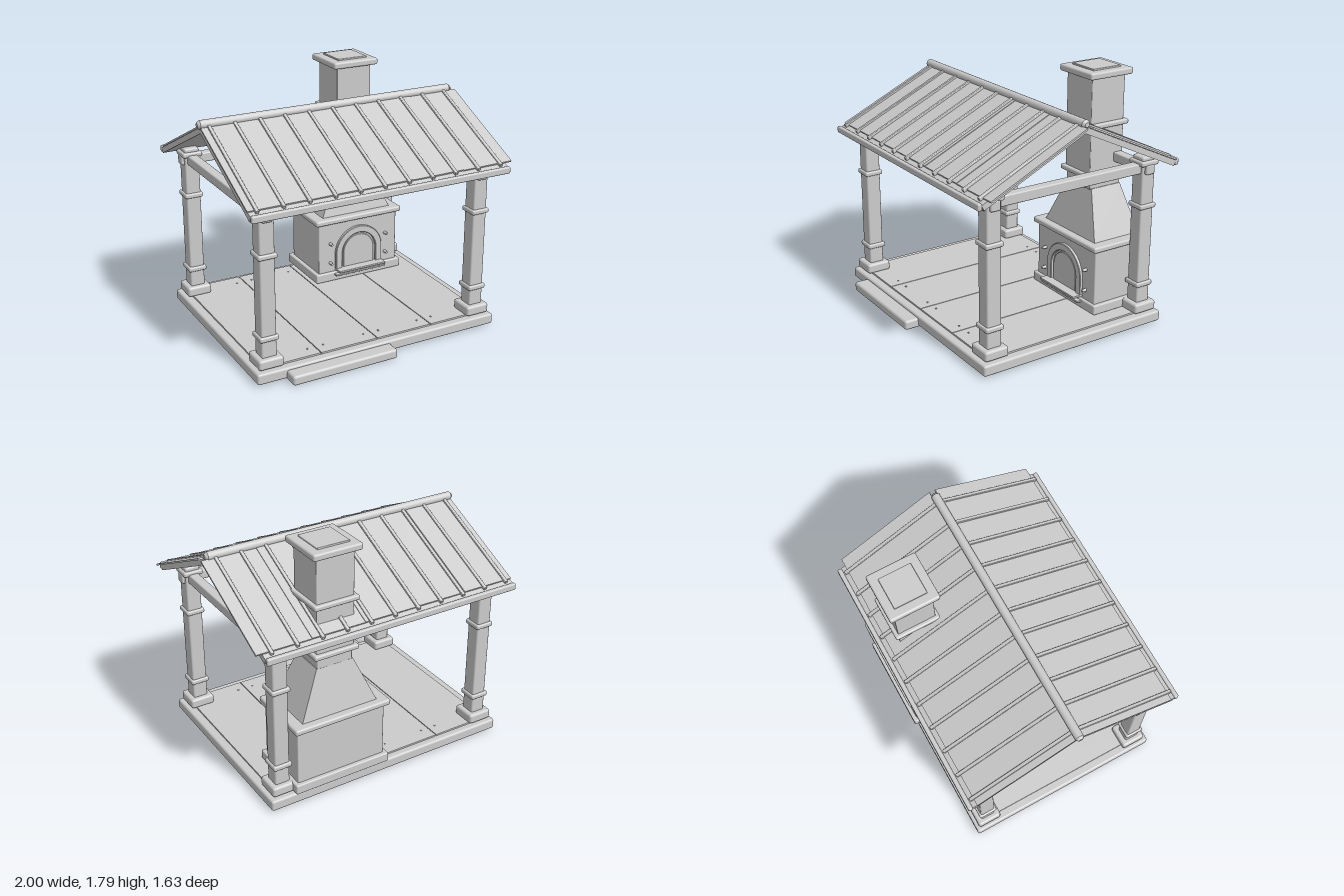
import * as THREE from 'three';
import { RoundedBoxGeometry } from 'three/addons/geometries/RoundedBoxGeometry.js';

const grey = new THREE.MeshStandardMaterial({ color: 0xcccccc });
grey.name = 'plain grey';

const CX = -0.01, CZ = -0.015; // middle of the pavilion

function add(parent, name, geometry, x = 0, y = 0, z = 0) {
  const mesh = new THREE.Mesh(geometry, grey);
  mesh.name = name;
  mesh.position.set(x, y, z);
  parent.add(mesh);
  return mesh;
}

// Box given by its extents; r rounds the edges
function block(parent, name, [x0, x1], [y0, y1], [z0, z1], r = 0) {
  const w = x1 - x0, h = y1 - y0, d = z1 - z0;
  const geo = r ? new RoundedBoxGeometry(w, h, d, 2, r) : new THREE.BoxGeometry(w, h, d);
  return add(parent, name, geo, (x0 + x1) / 2, (y0 + y1) / 2, (z0 + z1) / 2);
}

const around = (c, half) => [c - half, c + half];

function group(parent, name) {
  const g = new THREE.Group();
  g.name = name;
  parent.add(g);
  return g;
}

function buildFloor(root) {
  const g = group(root, 'floor');
  block(g, 'baseSlab', [-0.94, 0.92], [0.01, 0.088], [-0.75, 0.72], 0.016);
  block(g, 'frontStep', [-0.73, 0.06], [0, 0.07], [0.68, 0.82], 0.018);
  // Planks with narrow seams, nailed at both ends
  const count = 4, width = 1.74 / count;
  for (let i = 0; i < count; i++) {
    const x0 = -0.88 + i * width;
    block(g, 'plank', [x0 + 0.003, x0 + width - 0.003], [0.08, 0.1], [-0.7, 0.66]);
    for (const x of [x0 + 0.06, x0 + width - 0.06])
      for (const z of [-0.6, 0.57])
        add(g, 'nail', new THREE.CylinderGeometry(0.007, 0.007, 0.006, 8), x, 0.102, z);
  }
}

function buildPosts(root) {
  for (const sx of [-1, 1]) {
    for (const sz of [-1, 1]) {
      const x = CX + sx * 0.815, z = CZ + sz * 0.62;
      const g = group(root, 'post');
      const layer = (name, half, y0, y1, r) =>
        block(g, name, around(x, half), [y0, y1], around(z, half), r);
      layer('foot', 0.09, 0.095, 0.168, 0.018);
      layer('shaft', 0.054, 0.16, 1.19, 0.012);
      layer('lowerCollar', 0.068, 0.283, 0.32, 0.012);
      layer('upperCollar', 0.068, 0.862, 0.898, 0.012);
      layer('capital', 0.072, 1.172, 1.208, 0.012);
      layer('capitalTop', 0.054, 1.2, 1.235, 0.012);
    }
  }
}

function buildBeams(root) {
  const g = group(root, 'beams');
  for (const s of [-1, 1]) {
    const x = CX + s * 0.815, z = CZ + s * 0.62;
    block(g, 'sideBeam', around(x, 0.036), [1.115, 1.187], around(CZ, 0.69), 0.01);
    block(g, 'longBeam', around(CX, 0.89), [1.112, 1.182], around(z, 0.036), 0.01);
  }
}

function buildRoof(root) {
  const roof = group(root, 'roof');
  const angle = Math.atan2(0.355, 0.755);
  for (const s of [1, -1]) {
    const slope = group(roof, s > 0 ? 'frontSlope' : 'backSlope');
    slope.position.set(0, 1.575, CZ);
    slope.rotation.x = s * angle;
    const span = (a, b) => (s > 0 ? [a, b] : [-b, -a]);
    block(slope, 'roofBoard', [-0.975, 0.955], [-0.045, -0.004], span(0, 0.855));
    // Overlapping metal sheets, each one slightly tilted over the next
    for (let i = 0; i < 5; i++) {
      const x0 = -0.98 + i * 0.396;
      const sheet = block(slope, 'roofSheet', [x0, x0 + 0.398], [-0.004, 0.008], span(0.02, 0.81));
      sheet.rotation.z = 0.012;
    }
    // Standing seams
    for (let i = 0; i < 11; i++)
      block(slope, 'seam', around(-0.922 + i * 0.1822, 0.012), [-0.004, 0.021], span(0.015, 0.835), 0.005);
    // Trim along the eave
    block(roof, 'eaveTrim', [-0.978, 0.955], [1.172, 1.22], around(CZ + s * 0.782, 0.016), 0.01);
  }
  const ridge = add(roof, 'ridgeCap', new THREE.CylinderGeometry(0.031, 0.031, 1.93, 16), -0.015, 1.585, CZ);
  ridge.rotation.z = Math.PI / 2;
  for (const s of [-1, 1]) {
    const tip = add(roof, 'ridgeEnd', new THREE.CylinderGeometry(0.016, 0.031, 0.018, 16), -0.015 + s * 0.974, 1.585, CZ);
    tip.rotation.z = -s * Math.PI / 2;
  }
}

// Arched outline standing on y = 0
function arch(shape, r, straight) {
  shape.moveTo(-r, 0);
  shape.lineTo(r, 0);
  shape.lineTo(r, straight);
  shape.absarc(0, straight, r, 0, Math.PI, false);
  shape.lineTo(-r, 0);
  return shape;
}

// Four-sided hood from two rectangles [x0, x1, z0, z1]
function hoodGeometry(bottom, top, y0, y1) {
  const geo = new THREE.BoxGeometry(1, 1, 1);
  const p = geo.attributes.position;
  for (let i = 0; i < p.count; i++) {
    const up = p.getY(i) > 0, c = up ? top : bottom;
    p.setXYZ(i, p.getX(i) > 0 ? c[1] : c[0], up ? y1 : y0, p.getZ(i) > 0 ? c[3] : c[2]);
  }
  geo.computeVertexNormals();
  return geo;
}

function buildOven(root) {
  const g = group(root, 'oven');
  const x = 0.386, z = -0.535;
  block(g, 'plinth', [0.02, 0.75], [0.1, 0.17], [-0.78, -0.29], 0.01);
  block(g, 'ovenBody', [0.05, 0.722], [0.16, 0.575], [-0.75, -0.312], 0.008);
  block(g, 'ovenTop', [0.018, 0.75], [0.565, 0.607], [-0.785, -0.283], 0.014);
  add(g, 'hood', hoodGeometry([0.098, 0.672, -0.73, -0.34], [0.25, 0.525, -0.665, -0.415], 0.605, 0.945));

  // Arched door: surround with a recessed leaf
  const extrude = (shape, depth) => new THREE.ExtrudeGeometry(shape, {
    depth, curveSegments: 20, bevelEnabled: true, bevelSize: 0.004, bevelThickness: 0.004, bevelSegments: 1,
  });
  const frame = arch(new THREE.Shape(), 0.195, 0.13);
  frame.holes.push(arch(new THREE.Path(), 0.15, 0.13));
  add(g, 'doorFrame', extrude(frame, 0.022), x, 0.18, -0.316);
  add(g, 'doorLeaf', extrude(arch(new THREE.Shape(), 0.128, 0.13), 0.012), x, 0.18, -0.316);
  block(g, 'doorSill', [0.185, 0.588], [0.178, 0.194], [-0.32, -0.23], 0.005);
  block(g, 'lowerLedge', [0.17, 0.602], [0.146, 0.16], [-0.3, -0.255], 0.004);
  for (const bx of [0.146, 0.624])
    for (const by of [0.243, 0.4]) {
      const bolt = add(g, 'bolt', new THREE.CylinderGeometry(0.009, 0.013, 0.036, 10), bx, by, -0.295);
      bolt.rotation.x = Math.PI / 2;
    }

  // Chimney, from the hood up through the roof
  const layer = (name, half, y0, y1, r) =>
    block(g, name, around(x + 0.002, half), [y0, y1], around(z, half), r);
  layer('chimneyNeck', 0.132, 0.94, 1.04, 0.006);
  layer('chimneyShaft', 0.14, 1.03, 1.75, 0.006);
  layer('lowerCollar', 0.167, 1.02, 1.056, 0.012);
  layer('upperCollar', 0.167, 1.378, 1.414, 0.012);
  layer('chimneyCap', 0.18, 1.73, 1.778, 0.014);
  layer('chimneyLid', 0.118, 1.765, 1.79, 0.005);
}

export function createModel() {
  const root = new THREE.Group();
  root.name = 'ovenPavilion';
  buildFloor(root);
  buildPosts(root);
  buildBeams(root);
  buildRoof(root);
  buildOven(root);
  return root;
}
